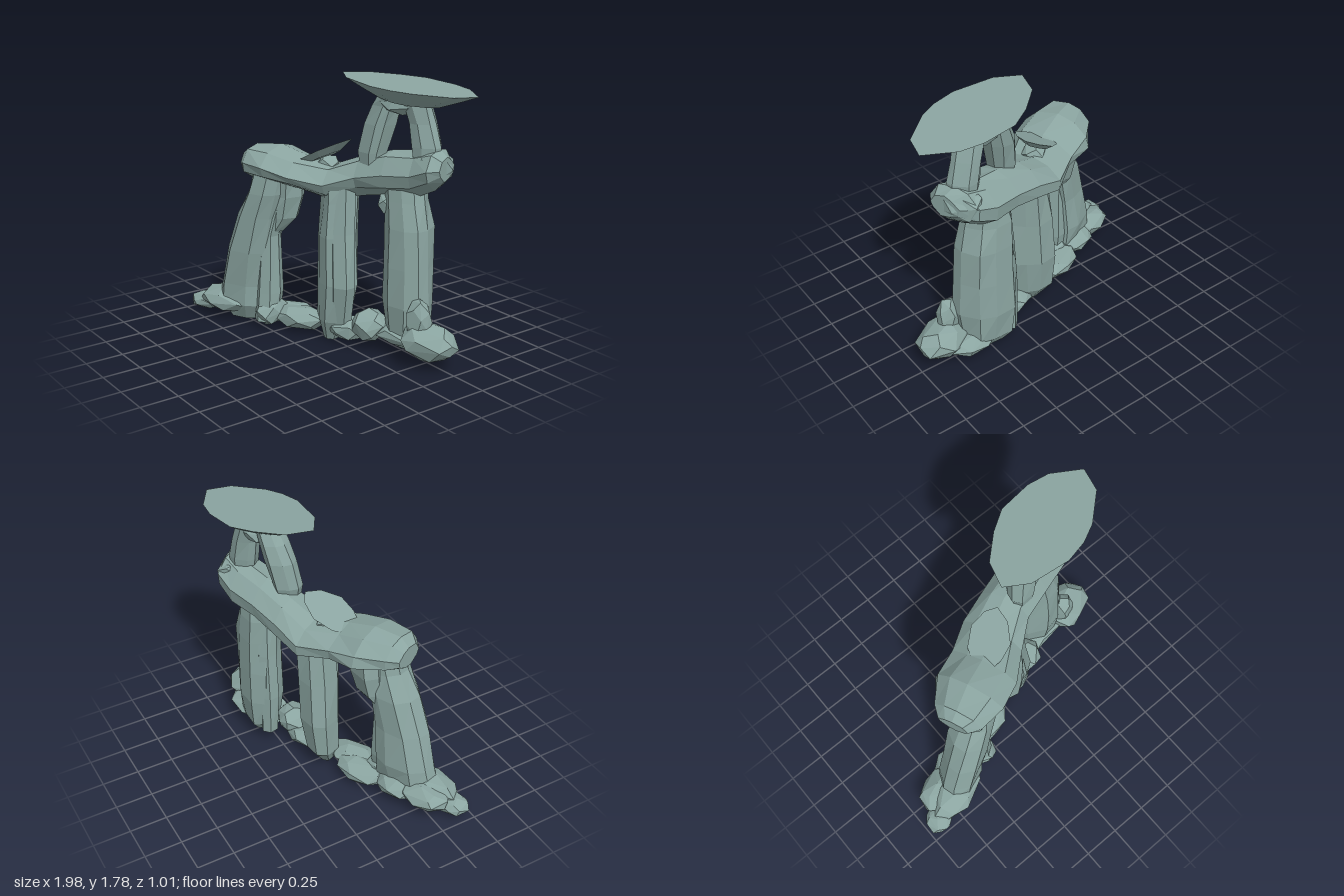
import * as THREE from 'three';
import { ConvexGeometry } from 'three/addons/geometries/ConvexGeometry.js';

const stone = new THREE.MeshStandardMaterial({ color: 0x8ba5a1, flatShading: true, side: THREE.DoubleSide });

// The formation runs diagonally: ALONG its length, ACROSS its depth
const ALONG = new THREE.Vector3(0.93, 0, -0.37);
const ACROSS = new THREE.Vector3(0.37, 0, 0.93);
const UP = new THREE.Vector3(0, 1, 0);

function seeded(seed) {
  let s = seed * 7919 + 17;
  return () => ((s = (s * 16807) % 2147483647) / 2147483647);
}

function add(group, name, geometry) {
  const mesh = new THREE.Mesh(geometry, stone);
  mesh.name = name;
  group.add(mesh);
}

// Faceted skin over rings [x, y, z, halfU, halfV]; u x v points along the path
function loft(rings, u, v, sides, seed) {
  const rnd = seeded(seed);
  const columns = Array.from({ length: sides }, () => [(rnd() - 0.5) * 0.4, 1.03 + (rnd() - 0.5) * 0.18]);
  const pos = [], index = [];
  for (const [x, y, z, a, b] of rings) {
    columns.forEach(([turn, swell], k) => {
      const t = ((k + turn) / sides) * Math.PI * 2;
      const r = swell + (rnd() - 0.5) * 0.14;
      const p = new THREE.Vector3(x, y, z)
        .addScaledVector(u, Math.cos(t) * a * r)
        .addScaledVector(v, Math.sin(t) * b * r);
      pos.push(p.x, p.y, p.z);
    });
  }
  const last = (rings.length - 1) * sides, c0 = rings.length * sides;
  pos.push(...rings[0].slice(0, 3), ...rings.at(-1).slice(0, 3));
  for (let k = 0; k < sides; k++) {
    const n = (k + 1) % sides;
    for (let i = 0; i < last; i += sides) {
      index.push(i + k, i + n, i + sides + n, i + k, i + sides + n, i + sides + k);
    }
    index.push(c0, n, k, c0 + 1, last + k, last + n);
  }
  const g = new THREE.BufferGeometry();
  g.setAttribute('position', new THREE.Float32BufferAttribute(pos, 3));
  g.setIndex(index);
  const flat = g.toNonIndexed();
  flat.computeVertexNormals();
  return flat;
}

// Upright stone; yaw turns the long side of its section from x towards z
function pillar(rings, sides, seed, yaw = -0.38) {
  const c = Math.cos(yaw), s = Math.sin(yaw);
  return loft(rings, new THREE.Vector3(c, 0, s), new THREE.Vector3(s, 0, -c), sides, seed);
}

// Convex boulder: jittered points on an ellipsoid lying along the formation
function boulder([x, y, z], [a, h, b], seed, count = 24) {
  const rnd = seeded(seed), points = [];
  for (let i = 0; i < count; i++) {
    const sy = 1 - (2 * (i + 0.5)) / count;
    const r = Math.sqrt(1 - sy * sy);
    const t = i * 2.4 + seed + rnd() * 0.5;
    const k = 1 + rnd() * 0.13;
    points.push(new THREE.Vector3(x, y, z)
      .addScaledVector(ALONG, Math.cos(t) * r * a * k)
      .addScaledVector(UP, sy * h * k)
      .addScaledVector(ACROSS, Math.sin(t) * r * b * k));
  }
  return new ConvexGeometry(points);
}

// Flat-topped slab: outline on a tilted plane, narrowing below.
// Each layer is [scale, drop] about the given centre
function slab(outline, height, [cx, cz], layers) {
  const points = [];
  for (const [scale, drop] of layers) {
    for (const [x, z] of outline) {
      const px = cx + (x - cx) * scale, pz = cz + (z - cz) * scale;
      points.push(new THREE.Vector3(px, height(px, pz) - drop, pz));
    }
  }
  return new ConvexGeometry(points);
}

export function createModel() {
  const model = new THREE.Group();
  model.name = 'rockArch';

  // Three big standing pillars
  add(model, 'leftPillar', pillar([
    [-0.56, 0.03, 0.26, 0.12, 0.08], [-0.56, 0.14, 0.26, 0.21, 0.13],
    [-0.55, 0.28, 0.25, 0.2, 0.14], [-0.5, 0.53, 0.24, 0.175, 0.14],
    [-0.43, 0.78, 0.22, 0.15, 0.14], [-0.37, 0.95, 0.2, 0.13, 0.13],
    [-0.34, 1.1, 0.18, 0.12, 0.12]], 9, 3));
  add(model, 'leftPillarShoulder', pillar([
    [-0.36, 0.68, 0.15, 0.06, 0.07], [-0.33, 0.78, 0.11, 0.11, 0.11],
    [-0.32, 0.93, 0.09, 0.13, 0.13], [-0.3, 1.08, 0.09, 0.12, 0.13]], 7, 5));
  add(model, 'leftPillarButtress', pillar([
    [-0.37, 0.05, 0.21, 0.08, 0.11], [-0.37, 0.25, 0.19, 0.08, 0.11],
    [-0.37, 0.65, 0.18, 0.06, 0.09], [-0.32, 0.85, 0.16, 0.05, 0.07]], 7, 6));
  add(model, 'middlePillar', pillar([
    [0.03, 0.0, -0.03, 0.08, 0.05], [0.03, 0.14, -0.06, 0.17, 0.11],
    [0.05, 0.4, -0.07, 0.2, 0.135], [0.06, 0.72, -0.07, 0.175, 0.135],
    [0.07, 0.95, -0.08, 0.145, 0.125], [0.07, 1.08, -0.08, 0.13, 0.12]], 9, 8, 0.47));
  add(model, 'middlePillarSlab', pillar([
    [0.14, 0.05, -0.03, 0.05, 0.06], [0.2, 0.4, -0.01, 0.07, 0.08],
    [0.17, 0.75, -0.02, 0.06, 0.08], [0.15, 1.05, -0.04, 0.06, 0.08]], 6, 9, 0.47));
  add(model, 'rightPillar', pillar([
    [0.53, 0.06, -0.26, 0.12, 0.08], [0.53, 0.14, -0.26, 0.18, 0.13],
    [0.53, 0.35, -0.265, 0.205, 0.145], [0.53, 0.6, -0.265, 0.2, 0.145],
    [0.52, 0.85, -0.265, 0.185, 0.14], [0.5, 1.02, -0.26, 0.16, 0.13],
    [0.5, 1.15, -0.26, 0.13, 0.13]], 10, 12, 0.4));
  add(model, 'rightPillarRib', pillar([
    [0.37, 0.1, -0.29, 0.07, 0.06], [0.36, 0.4, -0.29, 0.07, 0.07],
    [0.37, 0.75, -0.29, 0.06, 0.07], [0.38, 1.08, -0.28, 0.05, 0.07]], 6, 14, 0.4));
  add(model, 'wedgeStone', boulder([0.4, 0.98, -0.2], [0.065, 0.07, 0.07], 4, 14));

  // Sagging lintel across the pillars
  add(model, 'lintel', loft([
    [-0.56, 1.13, 0.22, 0.07, 0.1], [-0.5, 1.14, 0.2, 0.11, 0.17],
    [-0.34, 1.135, 0.12, 0.115, 0.235], [-0.16, 1.095, 0.04, 0.105, 0.215],
    [0.02, 1.055, -0.1, 0.115, 0.21], [0.2, 1.12, -0.18, 0.13, 0.17],
    [0.4, 1.165, -0.24, 0.145, 0.17], [0.6, 1.19, -0.29, 0.145, 0.17],
    [0.74, 1.245, -0.31, 0.125, 0.17], [0.81, 1.255, -0.31, 0.07, 0.1]], UP, ACROSS, 9, 21));
  add(model, 'lintelEnd', boulder([0.7, 1.25, -0.31], [0.11, 0.11, 0.16], 7, 20));

  // Tilted leaf-like slab resting on the lintel
  add(model, 'leaningSlab', slab(
    [[0.1, -0.14], [0.09, -0.03], [0.02, 0.08], [-0.08, 0.11], [-0.2, 0.1],
      [-0.22, 0.02], [-0.18, -0.1], [-0.08, -0.18], [0.03, -0.18]],
    (x, z) => 1.28 + 0.5 * x - 0.12 * z, [-0.06, -0.03], [[1, 0], [0.6, 0.045]]));
  add(model, 'slabProp', boulder([-0.03, 1.17, -0.05], [0.08, 0.06, 0.08], 9, 14));

  // Upper pair of short pillars
  add(model, 'upperLeftPillar', pillar([
    [0.3, 1.21, -0.15, 0.07, 0.07], [0.3, 1.3, -0.16, 0.095, 0.09],
    [0.33, 1.48, -0.19, 0.1, 0.095], [0.37, 1.6, -0.21, 0.085, 0.09],
    [0.41, 1.68, -0.22, 0.08, 0.09]], 8, 31));
  add(model, 'upperRightPillar', pillar([
    [0.66, 1.22, -0.29, 0.08, 0.08], [0.65, 1.38, -0.29, 0.1, 0.09],
    [0.62, 1.52, -0.28, 0.095, 0.09], [0.58, 1.65, -0.26, 0.1, 0.09]], 8, 33));
  add(model, 'underCapStone', boulder([0.49, 1.61, -0.23], [0.15, 0.06, 0.1], 13, 18));

  // Flat-topped cap stone
  add(model, 'capStone', slab(
    [[0.08, -0.08], [0.13, -0.25], [0.28, -0.39], [0.42, -0.48], [0.65, -0.51], [0.8, -0.49],
      [0.99, -0.38], [0.95, -0.22], [0.77, -0.06], [0.65, 0], [0.5, 0.035], [0.23, 0.01]],
    (x, z) => 1.785 - 0.064 * x + 0.02 * z, [0.55, -0.23], [[1, 0], [0.75, 0.05], [0.45, 0.105]]));

  // Boulders along the foot: centre, half sizes (length, height, depth), seed
  [
    [[-0.68, 0.13, 0.33], [0.24, 0.085, 0.13], 2],
    [[-0.88, 0.075, 0.4], [0.12, 0.06, 0.09], 3],
    [[-0.76, 0.12, 0.27], [0.17, 0.08, 0.13], 11],
    [[-0.57, 0.1, 0.18], [0.15, 0.08, 0.12], 4],
    [[-0.36, 0.11, 0.19], [0.09, 0.1, 0.13], 5],
    [[-0.31, 0.08, 0.06], [0.2, 0.07, 0.13], 19],
    [[-0.18, 0.09, 0.08], [0.19, 0.075, 0.11], 6],
    [[0.18, 0.09, -0.08], [0.16, 0.07, 0.12], 8],
    [[0.33, 0.15, -0.12], [0.12, 0.1, 0.12], 10],
    [[0.6, 0.13, -0.25], [0.24, 0.065, 0.14], 15],
    [[0.81, 0.17, -0.21], [0.185, 0.11, 0.145], 16],
    [[0.74, 0.29, -0.18], [0.08, 0.145, 0.075], 17],
  ].forEach(([centre, size, seed], i) => add(model, `footBoulder${i + 1}`, boulder(centre, size, seed)));

  return model;
}
